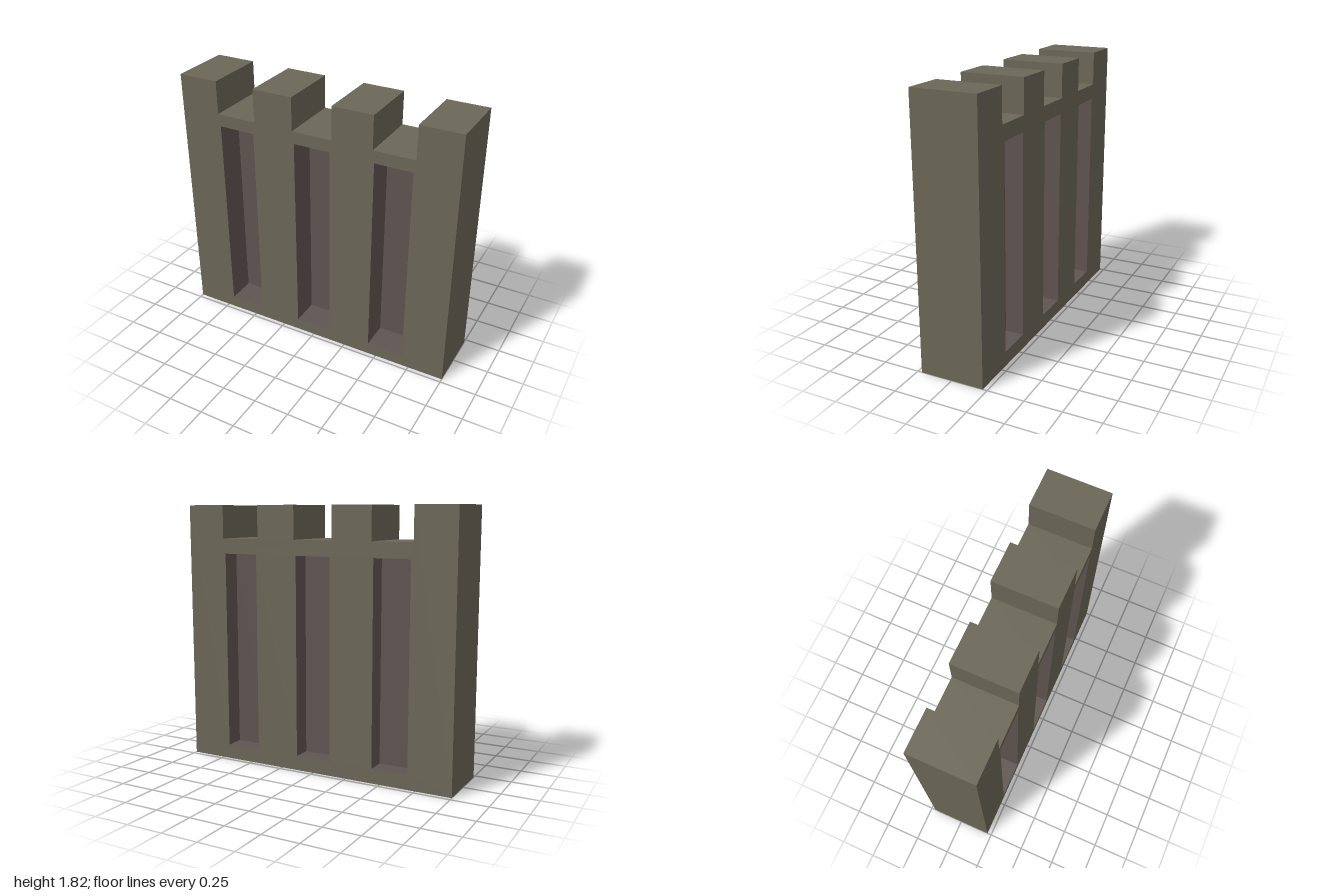
import * as THREE from 'three';

const HALF_DEPTH = 0.22, TOP = 1.82, GAP = 1.59, COLUMNS = 7;
const stone = new THREE.MeshStandardMaterial({ color: 0x6b6757, flatShading: true });
const niche = new THREE.MeshStandardMaterial({ color: 0x5f5451, flatShading: true });

// Strip of walls along a closed outline; counter-clockwise outlines face outwards
function band(points, z0, z1) {
  const pos = [];
  points.forEach((a, i) => {
    const b = points[(i + 1) % points.length];
    pos.push(a.x, a.y, z0, b.x, b.y, z0, b.x, b.y, z1);
    pos.push(a.x, a.y, z0, b.x, b.y, z1, a.x, a.y, z1);
  });
  const geometry = new THREE.BufferGeometry();
  geometry.setAttribute('position', new THREE.Float32BufferAttribute(pos, 3));
  geometry.computeVertexNormals();
  return geometry;
}

// Clockwise rectangle
const rect = (x, w, y0, y1) => [[-1, y0], [-1, y1], [1, y1], [1, y0]]
  .map(([s, y]) => new THREE.Vector2(x + s * w / 2, y));

function add(parent, name, geometry, material, z = 0) {
  const mesh = new THREE.Mesh(geometry, material);
  mesh.name = name;
  mesh.position.z = z;
  parent.add(mesh);
}

// One pierced wall face with its three lined recesses
function createFace(outline, name, width, y0, y1, depth) {
  const face = new THREE.Group();
  face.name = name;
  const shape = new THREE.Shape(outline);
  for (const x of [-0.57, 0, 0.57]) {
    const opening = rect(x, width, y0, y1);
    shape.holes.push(new THREE.Path(opening));
    add(face, 'recessSides', band(opening, HALF_DEPTH - depth, HALF_DEPTH), niche);
    add(face, 'recessPanel', new THREE.ShapeGeometry(new THREE.Shape(opening)), niche, HALF_DEPTH - depth);
  }
  add(face, 'wallFace', new THREE.ShapeGeometry(shape), stone, HALF_DEPTH);
  return face;
}

export function createModel() {
  const group = new THREE.Group();
  group.name = 'battlementWall';

  // Battlement outline: base, then merlons and gaps from right to left
  const outline = [new THREE.Vector2(-1, 0), new THREE.Vector2(1, 0)];
  for (let i = 0; i < COLUMNS; i++) {
    const y = i % 2 ? GAP : TOP;
    outline.push(new THREE.Vector2(1 - 2 * i / COLUMNS, y));
    outline.push(new THREE.Vector2(1 - 2 * (i + 1) / COLUMNS, y));
  }

  add(group, 'wallEdges', band(outline, -HALF_DEPTH, HALF_DEPTH), stone);
  group.add(createFace(outline, 'frontFace', 0.26, 0.085, 1.505, 0.2));

  // The back recesses are shallower and slightly smaller
  const back = createFace(outline, 'backFace', 0.255, 0.1, 1.485, 0.13);
  back.rotation.y = Math.PI;
  group.add(back);
  return group;
}
